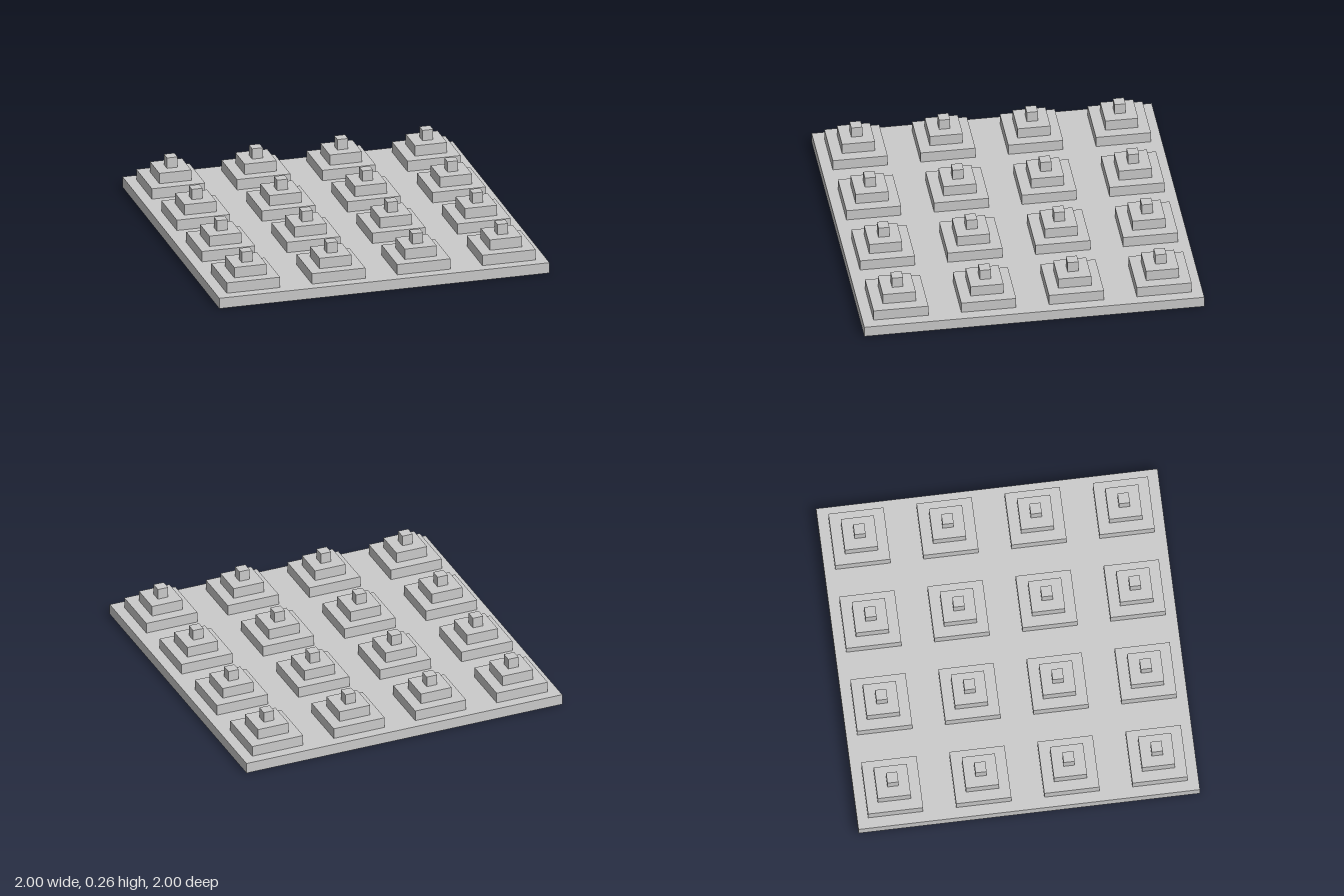
import * as THREE from 'three';

// Everything sits on a grid of 31 cells across the base
const CELL = 2 / 31;
const material = new THREE.MeshStandardMaterial({ color: 0xcccccc, flatShading: true });

// Square slab one cell high, resting on the given level
function slab(name, cells, level) {
  const mesh = new THREE.Mesh(new THREE.BoxGeometry(cells * CELL, CELL, cells * CELL), material);
  mesh.name = name;
  mesh.position.y = (level + 0.5) * CELL;
  return mesh;
}

// Three-tier stepped pyramid
function pyramid() {
  const group = new THREE.Group();
  group.name = 'steppedPyramid';
  group.add(slab('lowerTier', 5, 1), slab('middleTier', 3, 2), slab('topTier', 1, 3));
  return group;
}

export function createModel() {
  const model = new THREE.Group();
  model.name = 'pyramidGrid';

  model.add(slab('basePlate', 31, 0));

  // Four by four pyramids, eight cells apart
  for (let row = 0; row < 4; row++) {
    for (let col = 0; col < 4; col++) {
      const p = pyramid();
      p.position.set((col - 1.5) * 8 * CELL, 0, (row - 1.5) * 8 * CELL);
      model.add(p);
    }
  }
  return model;
}
